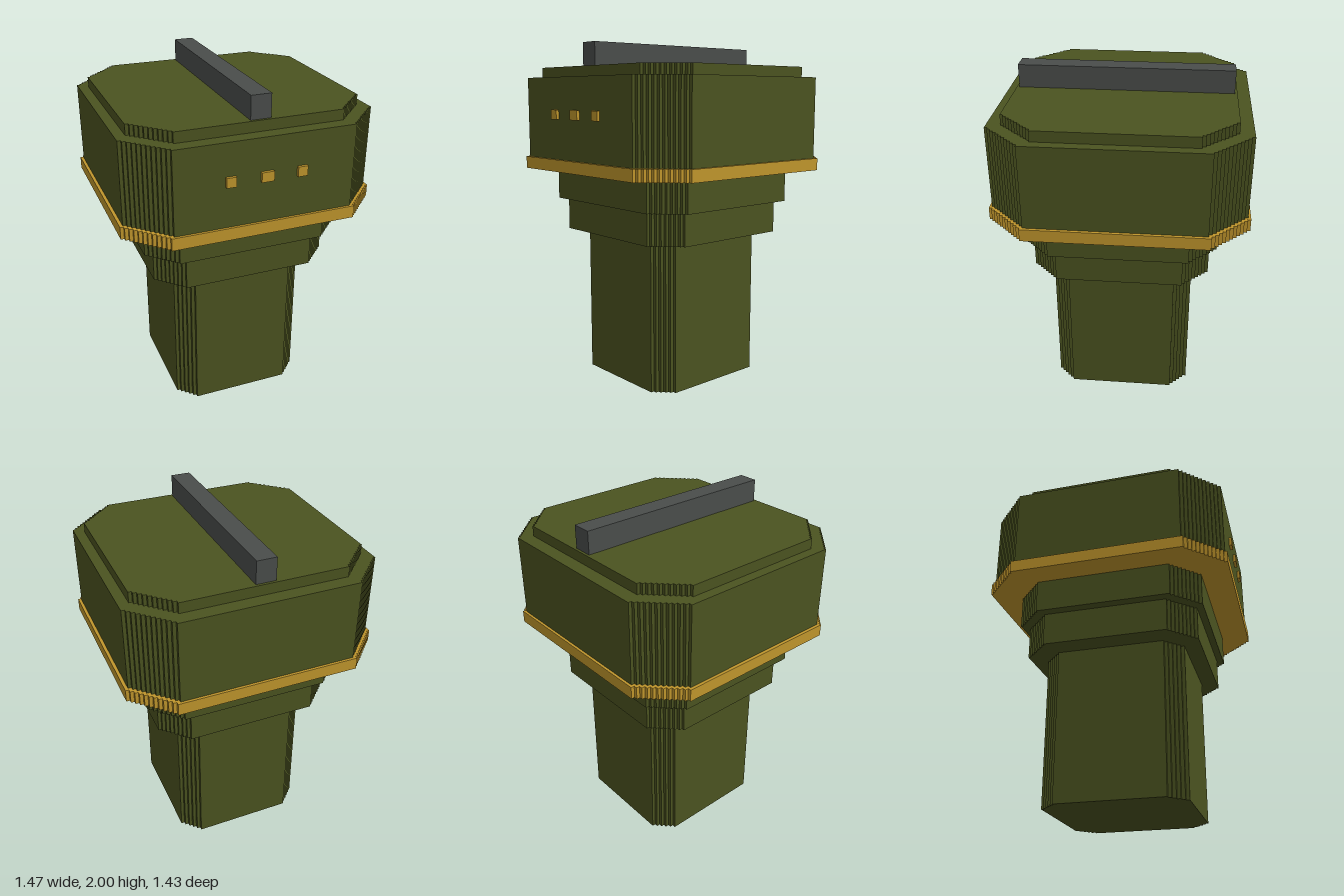
import * as THREE from 'three';

// Rectangle outline whose four corners are cut by small square stairs
function steppedOutline(w, d, cut) {
  const n = Math.round(cut / 0.0195), s = cut / n;
  const corner = [];
  for (let i = 0; i < n; i++) {
    corner.push([w - cut + i * s, d - i * s], [w - cut + i * s, d - (i + 1) * s]);
  }
  corner.push([w, d - cut]);
  const flipped = [...corner].reverse();
  const pts = [
    ...corner,
    ...flipped.map(([x, z]) => [x, -z]),
    ...corner.map(([x, z]) => [-x, -z]),
    ...flipped.map(([x, z]) => [-x, z]),
  ];
  return new THREE.Shape(pts.map(([x, z]) => new THREE.Vector2(x, z)));
}

export function createModel() {
  const model = new THREE.Group();
  model.name = 'blockTower';

  const material = (name, color) => {
    const m = new THREE.MeshStandardMaterial({ color });
    m.name = name;
    return m;
  };
  const olive = material('olive', 0x4b5320);
  const gold = material('gold', 0xc0962c);
  const grey = material('darkGrey', 0x4a4d4b);

  const add = (name, geometry, mat, x = 0, y = 0, z = 0) => {
    const mesh = new THREE.Mesh(geometry, mat);
    mesh.name = name;
    mesh.position.set(x, y, z);
    model.add(mesh);
  };

  // Stacked tiers: name, half width, half depth, corner cut, bottom, top
  const tiers = [
    ['column', 0.397, 0.413, 0.1, 0, 0.89, olive],
    ['lowerCollar', 0.528, 0.508, 0.147, 0.89, 1.08, olive],
    ['upperCollar', 0.584, 0.548, 0.155, 1.08, 1.27, olive],
    ['goldBand', 0.735, 0.715, 0.212, 1.27, 1.34, gold],
    ['head', 0.717, 0.7, 0.212, 1.34, 1.81, olive],
    ['cap', 0.66, 0.62, 0.19, 1.81, 1.87, olive],
  ];
  for (const [name, w, d, cut, y0, y1, mat] of tiers) {
    const g = new THREE.ExtrudeGeometry(steppedOutline(w, d, cut), { depth: y1 - y0, bevelEnabled: false });
    g.rotateX(-Math.PI / 2);
    add(name, g, mat, 0, y0);
  }

  // Ridge bar along the top
  add('topBar', new THREE.BoxGeometry(0.114, 0.13, 1.21), grey, 0, 1.935, 0);

  // Three studs on the front
  for (const [x, w] of [[-0.2, 0.055], [0, 0.07], [0.197, 0.055]]) {
    add('frontStud', new THREE.BoxGeometry(w, 0.055, 0.04), gold, x, 1.598, 0.697);
  }
  return model;
}
